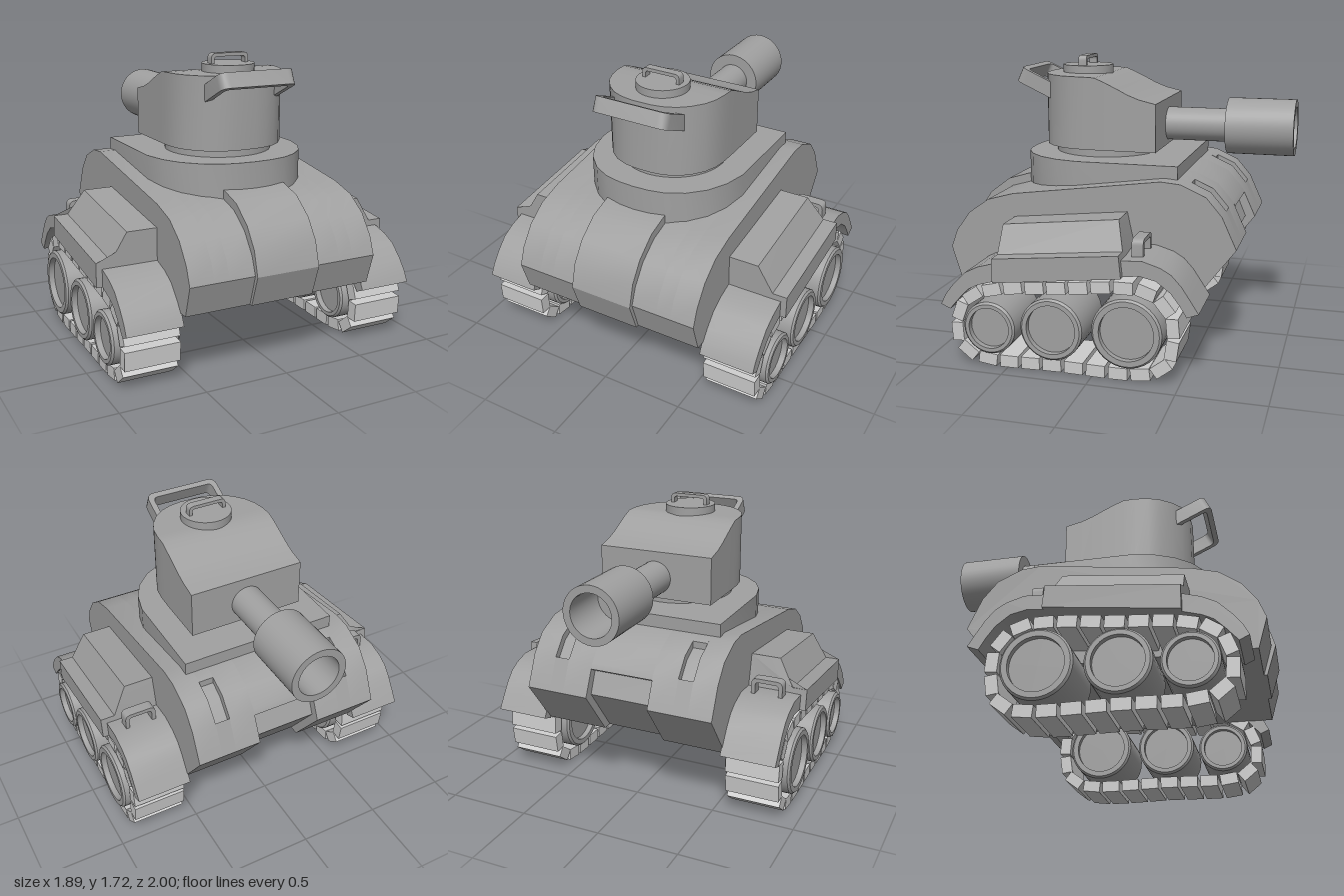
import * as THREE from 'three';
import { toCreasedNormals } from 'three/addons/utils/BufferGeometryUtils.js';

const armour = new THREE.MeshStandardMaterial({ color: 0xa0a0a0 });
armour.name = 'armour grey';
const treadGrey = new THREE.MeshStandardMaterial({ color: 0xcccccc });
treadGrey.name = 'tread light grey';

const V2 = (pts) => pts.map(([a, b]) => new THREE.Vector2(a, b));

function part(name, geometry, parent, material = armour, crease = 0.6) {
  const mesh = new THREE.Mesh(toCreasedNormals(geometry, crease), material);
  mesh.name = name;
  parent.add(mesh);
  return mesh;
}

// Side profile of [z, y] points, extruded across x from x0 to x1
function slab(profile, x0, x1) {
  const g = new THREE.ExtrudeGeometry(new THREE.Shape(V2(profile)), { depth: x1 - x0, bevelEnabled: false });
  return g.rotateY(-Math.PI / 2).translate(x1, 0, 0);
}

// Skin over rings of [x, y, z], counter-clockwise from the front, running front to back
function loft(rings) {
  const n = rings[0].length, pos = rings.flat(2), index = [];
  const last = (rings.length - 1) * n;
  for (let i = 0; i < rings.length - 1; i++) {
    for (let j = 0; j < n; j++) {
      const a = i * n + j, b = i * n + (j + 1) % n;
      index.push(a, b + n, b, a, a + n, b + n);
    }
  }
  for (let j = 1; j < n - 1; j++) index.push(0, j, j + 1, last, last + j + 1, last + j);
  const g = new THREE.BufferGeometry();
  g.setAttribute('position', new THREE.Float32BufferAttribute(pos, 3));
  g.setIndex(index);
  return g;
}

// Rounded U-shaped grab bar: half width w, height h, bar thickness t
function grabBar(w, h, t, depth, r) {
  const s = new THREE.Shape();
  const wi = w - t, hi = h - t, ri = r * 0.6;
  s.moveTo(-w, 0);
  s.lineTo(-wi, 0);
  s.lineTo(-wi, hi - ri);
  s.quadraticCurveTo(-wi, hi, -wi + ri, hi);
  s.lineTo(wi - ri, hi);
  s.quadraticCurveTo(wi, hi, wi, hi - ri);
  s.lineTo(wi, 0);
  s.lineTo(w, 0);
  s.lineTo(w, h - r);
  s.quadraticCurveTo(w, h, w - r, h);
  s.lineTo(-w + r, h);
  s.quadraticCurveTo(-w, h, -w, h - r);
  return new THREE.ExtrudeGeometry(s, { depth, bevelEnabled: false, curveSegments: 5 });
}

function buildHull(root) {
  const hull = new THREE.Group();
  hull.name = 'hull';
  root.add(hull);
  const nose = [[0.57, 0.945], [0.73, 0.9], [0.85, 0.815], [0.935, 0.7], [0.975, 0.595], [0.92, 0.415]];
  const raisedNose = [[0.5, 1.0], [0.62, 0.985], [0.755, 0.945], [0.88, 0.85], [0.96, 0.735], [1.0, 0.595], [0.94, 0.415]];
  const crown = [[-0.43, 1.055], [-0.315, 1.065]];
  const tail = [[-0.535, 0.415], [-0.75, 0.7], [-0.665, 0.885], [-0.575, 0.99]];
  const slotTail = [[-0.535, 0.415], [-0.75, 0.7], [-0.665, 0.885], [-0.645, 0.845], [-0.55, 0.955], [-0.465, 1.0], [-0.465, 1.04]];
  const recessTail = [[-0.475, 0.415], [-0.69, 0.7], [-0.635, 0.83], [-0.68, 0.855], [-0.665, 0.885], [-0.575, 0.99]];

  part('hullCentre', slab([...recessTail, ...crown, ...raisedNose], -0.195, 0.195), hull);
  for (const s of [1, -1]) {
    const strip = (name, rear, a, b) =>
      part(name, slab([...rear, ...crown, ...nose], Math.min(s * a, s * b), Math.max(s * a, s * b)), hull);
    strip('hullInner', tail, 0.195, 0.35);
    strip('hullVentStrip', slotTail, 0.35, 0.44);
    strip('hullOuter', tail, 0.44, 0.585);
  }

  // Raised deck under the turret
  const half = [[0.485, -0.39], [0.485, 0.21], [0.45, 0.35], [0.39, 0.46], [0.3, 0.55], [0.2, 0.605], [0.1, 0.627]];
  const outline = [...half, [0, 0.633], ...half.map(([x, z]) => [-x, z]).reverse()];
  const deck = new THREE.ExtrudeGeometry(new THREE.Shape(V2(outline)), { depth: 0.285, bevelEnabled: false });
  part('turretDeck', deck.rotateX(Math.PI / 2).translate(0, 1.135, 0), hull);
}

function buildTurret(root) {
  const turret = new THREE.Group();
  turret.name = 'turret';
  root.add(turret);
  part('turretRing', new THREE.CylinderGeometry(0.32, 0.32, 0.09, 40).translate(0, 1.15, 0.155), turret);

  // Body sections: [z, half width, top height]
  const sections = [
    [0.52, 0.06, 1.61], [0.508, 0.13, 1.61], [0.48, 0.2, 1.61], [0.43, 0.262, 1.61], [0.36, 0.315, 1.61],
    [0.29, 0.343, 1.61], [0.21, 0.355, 1.61], [0.14, 0.357, 1.607], [0.08, 0.358, 1.583], [0, 0.358, 1.545],
    [-0.06, 0.358, 1.515], [-0.13, 0.358, 1.488], [-0.23, 0.358, 1.465],
  ];
  part('turretBody', loft(sections.map(([z, w, h]) =>
    [[-w, 1.182, z], [w, 1.182, z], [w, h, z], [-w, h, z]])), turret);

  // Hatch with its handle
  part('hatch', new THREE.CylinderGeometry(0.155, 0.155, 0.055, 36).translate(0, 1.6285, 0.285), turret);
  part('hatchHandle', grabBar(0.12, 0.065, 0.02, 0.05, 0.03).translate(0, 1.65, 0.26), turret);

  // Tilted rail on the front
  const rail = grabBar(0.235, 0.24, 0.035, 0.09, 0.05).translate(0, -0.03, 0);
  part('frontRail', rail.rotateX(THREE.MathUtils.degToRad(65)).translate(0, 1.56, 0.445), turret);

  // Gun with a hollow muzzle
  const gun = new THREE.LatheGeometry(V2([
    [0, 0.2], [0.1, 0.2], [0.1, 0.6], [0.168, 0.6], [0.168, 1], [0.125, 1], [0.125, 0.7], [0, 0.7],
  ]), 40);
  part('gunBarrel', gun.rotateX(-Math.PI / 2).translate(0, 1.307, 0), turret);
}

function buildSide(root, s) {
  const side = new THREE.Group();
  side.name = s > 0 ? 'leftRunningGear' : 'rightRunningGear';
  root.add(side);

  // Fender arching over the track
  const fender = [
    [0.895, 0.35], [0.865, 0.41], [0.815, 0.475], [0.74, 0.55], [0.66, 0.59], [0.56, 0.618],
    [-0.18, 0.695], [-0.295, 0.7], [-0.395, 0.67], [-0.455, 0.635], [-0.51, 0.575], [-0.56, 0.5], [-0.605, 0.43],
    [-0.54, 0.405], [-0.5, 0.47], [-0.45, 0.535], [-0.37, 0.595], [-0.28, 0.615], [-0.18, 0.605],
    [0.555, 0.515], [0.66, 0.485], [0.72, 0.455], [0.775, 0.4], [0.84, 0.325],
  ];
  part('fender', slab(fender, s > 0 ? 0.58 : -0.91, s > 0 ? 0.91 : -0.58), side);

  // Stowage box: [x, front y, back y, back z]
  const box = [
    [0.58, 0.515, 0.603, -0.185], [0.945, 0.515, 0.603, -0.185], [0.945, 0.655, 0.73, -0.172],
    [0.858, 0.655, 0.73, -0.172], [0.763, 0.808, 0.882, -0.125], [0.58, 0.808, 0.882, -0.125],
  ];
  const ends = [box.map(([x, y]) => [s * x, y, 0.56]), box.map(([x, , y, z]) => [s * x, y, z])];
  part('stowageBox', loft(s > 0 ? ends : ends.map((r) => r.reverse())), side, armour, 0.2);

  part('fenderHandle', grabBar(0.095, 0.12, 0.024, 0.065, 0.035).translate(s * 0.735, 0.675, -0.28), side);

  // Road wheels with recessed faces: [z, y, radius, face radius]
  for (const [z, y, r, f] of [[0.595, 0.238, 0.154, 0.12], [0.225, 0.265, 0.181, 0.143], [-0.21, 0.285, 0.2, 0.156]]) {
    const wheel = new THREE.LatheGeometry(V2([
      [0, -0.165], [f, -0.165], [f, -0.2], [r - 0.012, -0.2], [r, -0.188],
      [r, 0.188], [r - 0.012, 0.2], [f, 0.2], [f, 0.165], [0, 0.165],
    ]), 36);
    part('roadWheel', wheel.rotateZ(-Math.PI / 2).translate(s * 0.735, y, z), side);
  }

  // Track links spaced evenly along a closed loop
  const loop = new THREE.CatmullRomCurve3([
    [0.62, 0.04], [0.73, 0.07], [0.795, 0.15], [0.8, 0.24], [0.775, 0.335], [0.7, 0.415], [0.55, 0.465], [0.2, 0.5],
    [-0.2, 0.535], [-0.32, 0.518], [-0.41, 0.455], [-0.455, 0.37], [-0.462, 0.26], [-0.435, 0.13], [-0.35, 0.062],
    [-0.25, 0.04], [0.2, 0.04],
  ].map(([z, y]) => new THREE.Vector3(0, y, z)), true, 'centripetal');
  const links = 24;
  for (let i = 0; i < links; i++) {
    const p = loop.getPointAt(i / links), t = loop.getTangentAt(i / links);
    const link = part('trackLink', new THREE.BoxGeometry(0.325, 0.07, 0.11), side, treadGrey);
    link.position.set(s * 0.738, p.y, p.z);
    link.rotation.x = Math.atan2(-t.y, t.z);
  }
}

export function createModel() {
  const root = new THREE.Group();
  root.name = 'toyTank';
  buildHull(root);
  buildTurret(root);
  for (const s of [1, -1]) buildSide(root, s);
  return root;
}
